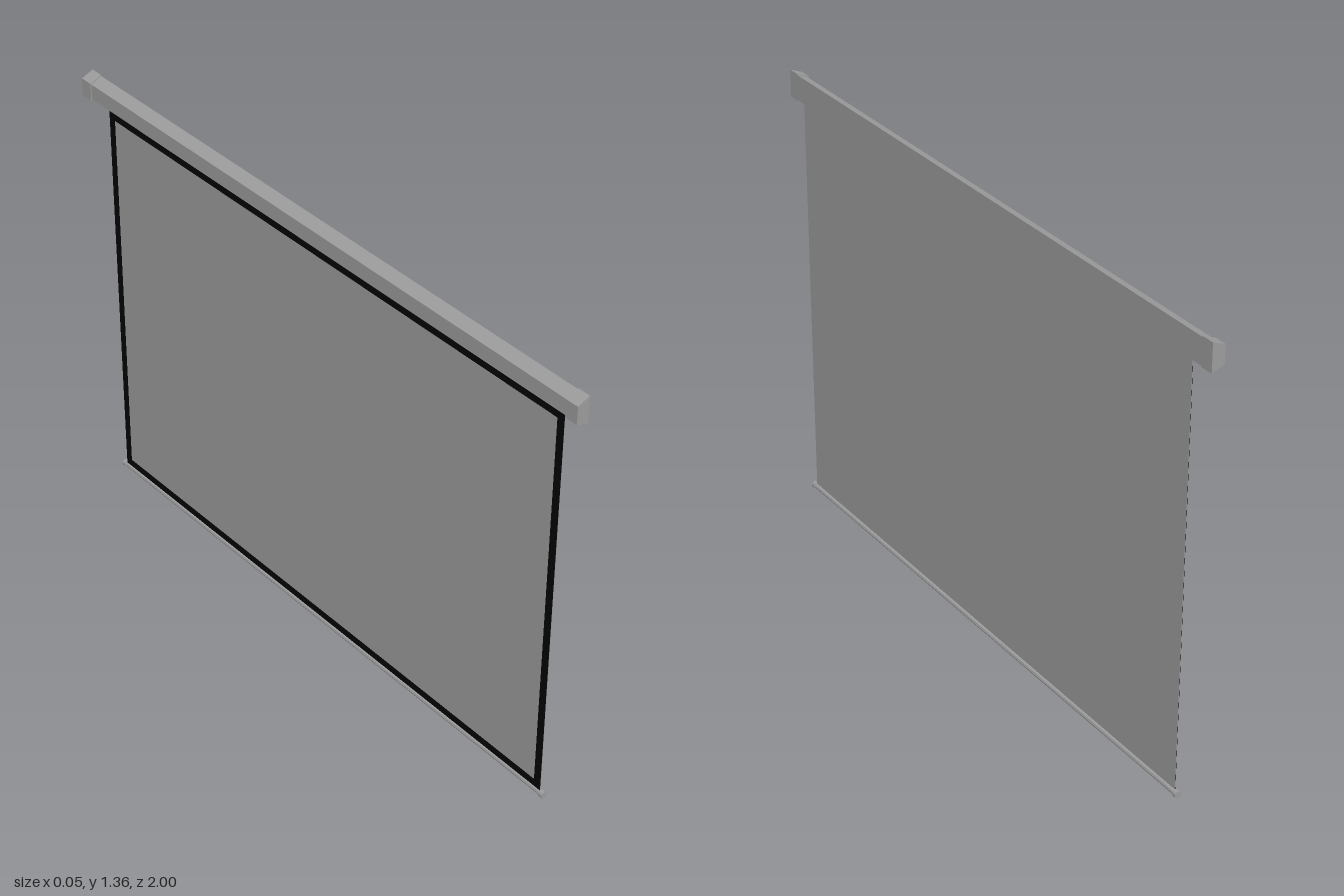
import * as THREE from 'three';

const grey = new THREE.MeshStandardMaterial({ color: 0x9b9b9b });
const flatGrey = new THREE.MeshStandardMaterial({ color: 0x9b9b9b, flatShading: true });
const black = new THREE.MeshStandardMaterial({ color: 0x030303, side: THREE.DoubleSide });

const BACK = 0.0125;      // wall-side plane shared by case and fabric
const HALF_WIDTH = 0.925; // half the fabric width
const TOP = 1.28, BOTTOM = 0.012;

function add(group, name, geometry, material = grey) {
  const mesh = new THREE.Mesh(geometry, material);
  mesh.name = name;
  group.add(mesh);
  return mesh;
}

// Trapezoid housing section, extruded along z; inset shrinks it
function housing(inset, length) {
  const s = new THREE.Shape([
    new THREE.Vector2(BACK, 1.272 + inset),
    new THREE.Vector2(BACK, 1.355 - inset),
    new THREE.Vector2(-0.025 + inset, 1.34 - inset),
    new THREE.Vector2(-0.025 + inset, 1.287 + inset),
  ]);
  return new THREE.ExtrudeGeometry(s, { depth: length, bevelEnabled: false }).translate(0, 0, -length / 2);
}

// Rectangle in the fabric plane (shape x maps to z)
function rectangle(Curve, w, y0, y1) {
  const r = new Curve();
  r.moveTo(-w, y0);
  r.lineTo(w, y0);
  r.lineTo(w, y1);
  r.lineTo(-w, y1);
  r.closePath();
  return r;
}

export function createModel() {
  const model = new THREE.Group();
  model.name = 'projectionScreen';

  // Roller case with slightly larger end caps
  add(model, 'rollerCase', housing(0.003, 1.94));
  for (const side of [-1, 1]) {
    add(model, 'caseEndCap', housing(0, 0.04)).position.z = side * 0.98;
  }

  // Fabric sheet hanging flush with the back of the case
  const sheet = add(model, 'screenFabric', new THREE.BoxGeometry(0.001, TOP - BOTTOM, HALF_WIDTH * 2));
  sheet.position.set(BACK - 0.0007, (TOP + BOTTOM) / 2, 0);

  // Black border around the viewing side
  const frame = rectangle(THREE.Shape, HALF_WIDTH, BOTTOM, TOP);
  frame.holes.push(rectangle(THREE.Path, HALF_WIDTH - 0.025, 0.042, 1.235));
  const border = add(model, 'screenBorder', new THREE.ShapeGeometry(frame), black);
  border.rotation.y = -Math.PI / 2;
  border.position.x = BACK - 0.002;

  // Faceted bottom bar with round end knobs
  const bar = add(model, 'bottomBar', new THREE.CylinderGeometry(0.008, 0.008, 1.86, 8).rotateX(Math.PI / 2), flatGrey);
  bar.position.set(BACK, 0.0105, 0);
  for (const side of [-1, 1]) {
    const knob = add(model, 'barEndKnob', new THREE.CylinderGeometry(0.0105, 0.0105, 0.014, 16).rotateX(Math.PI / 2));
    knob.position.set(BACK, 0.0105, side * 0.933);
  }
  return model;
}
